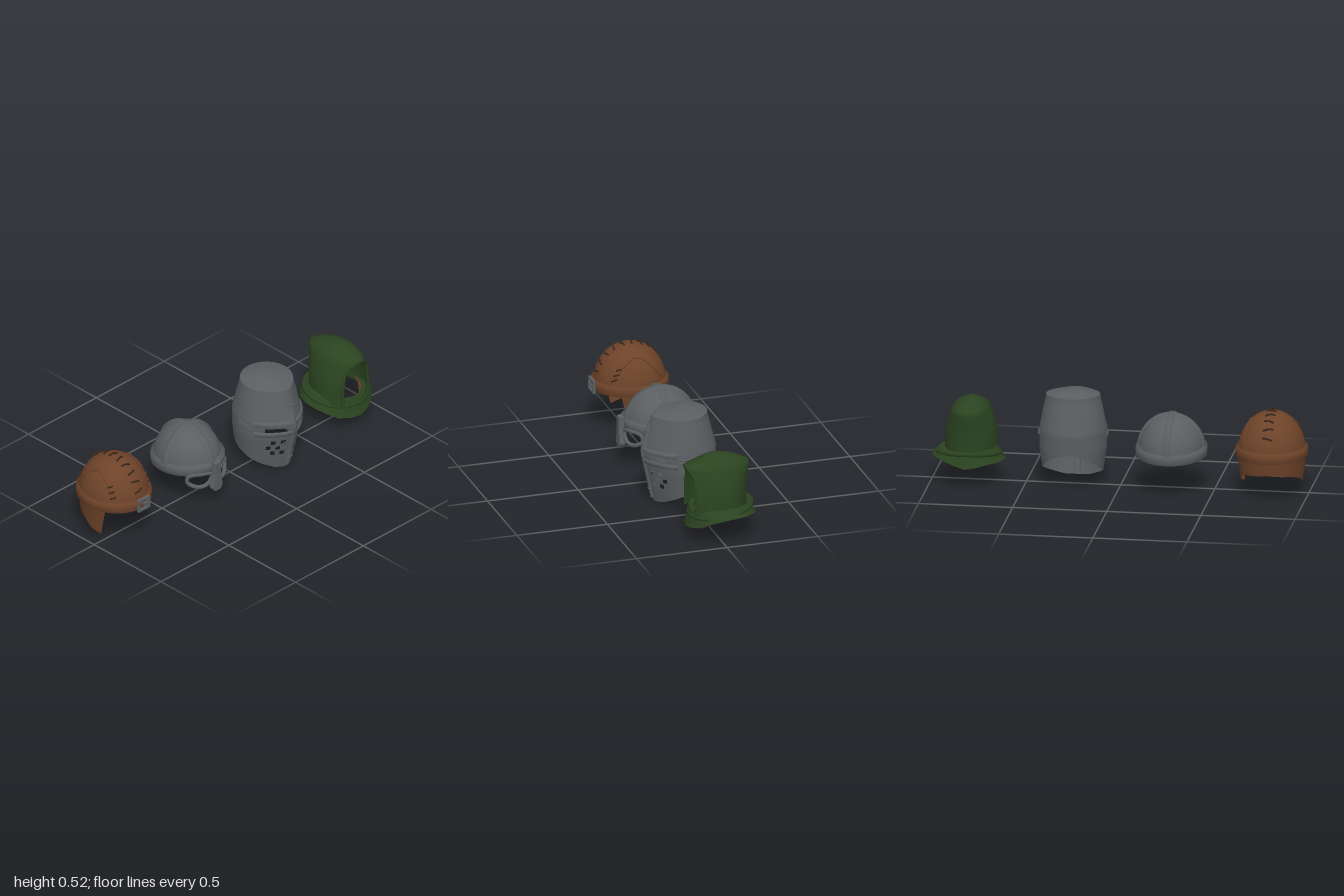
import * as THREE from 'three';
import { mergeVertices } from 'three/addons/utils/BufferGeometryUtils.js';

const { sin, cos, PI, abs, max, min } = Math;
const RAD = PI / 180;

function flat(name, hex) {
  const m = new THREE.MeshStandardMaterial({ color: hex, side: THREE.DoubleSide });
  m.name = name;
  return m;
}

// piecewise linear lookup in [[key, value], ...] with rising keys
function pick(table, k) {
  if (k <= table[0][0]) return table[0][1];
  for (let i = 1; i < table.length; i++) {
    const [k0, v0] = table[i - 1], [k1, v1] = table[i];
    if (k <= k1) return v0 + (v1 - v0) * (k - k0) / (k1 - k0);
  }
  return table[table.length - 1][1];
}

// grid surface from f(u, v) -> [x, y, z]; skip(i, j) leaves a cell open
function surf(group, name, mat, nu, nv, f, skip) {
  const pos = [], idx = [], w = nu + 1;
  for (let j = 0; j <= nv; j++)
    for (let i = 0; i <= nu; i++) pos.push(...f(i / nu, j / nv));
  for (let j = 0; j < nv; j++)
    for (let i = 0; i < nu; i++) {
      if (skip && skip(i, j)) continue;
      const a = j * w + i, b = a + 1, c = a + w, d = c + 1;
      idx.push(a, b, d, a, d, c);
    }
  let g = new THREE.BufferGeometry();
  g.setAttribute('position', new THREE.Float32BufferAttribute(pos, 3));
  g.setIndex(idx);
  g = mergeVertices(g, 1e-5);
  g.computeVertexNormals();
  return add(group, name, g, mat);
}

function add(group, name, geo, mat) {
  const m = new THREE.Mesh(geo, mat);
  m.name = name;
  group.add(m);
  return m;
}

function tube(group, name, mat, pts, r, closed = false, seg = 16) {
  const c = new THREE.CatmullRomCurve3(pts.map(p => new THREE.Vector3(...p)), closed);
  return add(group, name, new THREE.TubeGeometry(c, seg, r, 6, closed), mat);
}

function helmet(parent, name, x, z) {
  const g = new THREE.Group();
  g.name = name;
  g.position.set(x, 0, z);
  parent.add(g);
  return g;
}

// point on a dome: a = angle from the front, e = elevation, o = offset outwards
const dome = (rx, h, rz, y0) => (a, e, o = 0) => [
  (rx + o) * cos(e) * sin(a), y0 + (h + o) * sin(e), (rz + o) * cos(e) * cos(a)];

// raised band around an oval
function band(group, name, mat, rx, rz, lowY, highY, bulge, tilt = 0) {
  const prof = [[-.012, 0], [bulge, .08], [bulge, .85], [-.015, 1]];
  surf(group, name, mat, 32, 3, (u, v) => {
    const a = u * 2 * PI, [o, t] = prof[Math.round(v * 3)];
    return [(rx + o) * sin(a), lowY + (highY - lowY) * t + tilt * cos(a), (rz + o) * cos(a)];
  });
}

function leatherCap(root, M) {
  const g = helmet(root, 'leatherCap', -.81, -.045);
  const d = dome(.178, .215, .194, .24);
  surf(g, 'capDome', M.leather, 24, 9, (u, v) => d(u * 2 * PI, v * PI / 2));
  surf(g, 'capLining', M.steel, 24, 6, (u, v) => d(u * 2 * PI, v * PI / 2, -.01));
  band(g, 'browBand', M.leather, .182, .2, .212, .272, .008);
  // neck guard hanging lower at the ears
  const hem = [[70, .055], [91, .07], [107, .11], [135, .135], [180, .15]];
  surf(g, 'neckGuard', M.leather, 32, 4, (u, v) => {
    const a0 = 60 + 11 * v, deg = a0 + (360 - 2 * a0) * u;
    const y = .23 + (pick(hem, min(deg, 360 - deg)) - .23) * v;
    const k = 1 - (.23 - y) * .75;
    return [.183 * k * sin(deg * RAD), y, .199 * k * cos(deg * RAD)];
  });
  // laces crossing the crown seam
  for (let i = 0; i < 10; i++) {
    const t = (20 + i * 14.5) * RAD, s = i % 2 ? .007 : -.007;
    const at = (x, lift, dt) => [x, .24 + (.215 + lift) * sin(t + dt), (.194 + lift) * cos(t + dt)];
    tube(g, 'crownLace', M.lace, [at(-.026, -.003, s * 4), at(0, .007, 0), at(.026, -.003, -s * 4)], .005, false, 5);
  }
  // side seams with short stitches
  for (const s of [-1, 1]) {
    const seam = [];
    for (let i = 0; i <= 8; i++) seam.push(d(s * (42 + i * 12) * RAD, (10 + 42 * sin(i / 8 * PI)) * RAD, .001));
    tube(g, 'sideSeam', M.leather, seam, .004, false, 24);
    for (let i = 0; i < 3; i++) {
      const e = (16 + i * 8) * RAD, a = s * (48 + i * 3) * RAD;
      tube(g, 'sideStitch', M.lace, [d(a - .09, e - .03), d(a, e, .006), d(a + .09, e + .03)], .004, false, 4);
    }
  }
  // buckle
  const frame = new THREE.Shape([[-.042, -.036], [.042, -.036], [.042, .036], [-.042, .036]].map(p => new THREE.Vector2(...p)));
  frame.holes.push(new THREE.Path([[-.029, -.023], [-.029, .023], [.029, .023], [.029, -.023]].map(p => new THREE.Vector2(...p))));
  add(g, 'buckle', new THREE.ExtrudeGeometry(frame, { depth: .014, bevelEnabled: false }), M.steel).position.set(.01, .243, .205);
  add(g, 'bucklePin', new THREE.BoxGeometry(.045, .01, .012), M.steel).position.set(.028, .243, .214);
}

function spectacleHelm(root, M) {
  const g = helmet(root, 'spectacleHelm', -.275, -.037);
  const d = dome(.173, .19, .19, .22);
  surf(g, 'helmDome', M.steel, 24, 8, (u, v) => d(u * 2 * PI, v * PI / 2));
  band(g, 'rimBand', M.steel, .18, .197, .193, .25, .008, .014);
  // crossed ridges over the crown
  const prof = [[-.02, -.006], [-.014, .01], [.014, .01], [.02, -.006]];
  for (const side of [0, 1])
    surf(g, 'crownRidge', M.steel, 24, 3, (u, v) => {
      const [w, o] = prof[Math.round(v * 3)], t = u * PI;
      const r = ((side ? .173 : .19) + o) * cos(t), y = .22 + (.19 + o) * sin(t);
      return side ? [r, y, w] : [w, y, r];
    });
  // eye guards wrapped on the front curve
  const onFace = (x, y) => [x, y, .2 * Math.sqrt(1 - (x / .188) ** 2)];
  for (const s of [-1, 1])
    tube(g, 'eyeGuard', M.steel, [[.022, .2], [.08, .212], [.132, .203], [.138, .17], [.105, .139], [.06, .137], [.028, .16]]
      .map(([x, y]) => onFace(s * x, y)), .0115, true, 28);
  // nose guard
  const nose = new THREE.Shape([[-.019, .27], [-.02, .2], [-.026, .165], [-.034, .125], [-.018, .102], [.018, .102],
    [.034, .125], [.026, .165], [.02, .2], [.019, .27]].map(p => new THREE.Vector2(...p)));
  add(g, 'noseGuard', new THREE.ExtrudeGeometry(nose, { depth: .02, bevelEnabled: true, bevelThickness: .006, bevelSize: .003, bevelSegments: 1 }), M.steel)
    .position.z = .203;
}

function greatHelm(root, M) {
  const g = helmet(root, 'greatHelm', .255, 0);
  const RX = [[0, .145], [.06, .158], [.2, .178], [.3, .178], [.4, .16], [.49, .14]];
  const FRONT = [[0, .165], [.2, .208], [.28, .225], [.4, .195], [.48, .175]];
  const BACK = [[.1, .165], [.3, .17], [.49, .12]];
  const HEM = [[0, 0], [25, .008], [60, .045], [110, .1], [150, .17], [180, .195]];
  const wall = (deg, y, o = 0) => {
    const a = deg * RAD, c = cos(a), mid = .015;
    const ridge = .022 * max(0, c) ** 10;
    const z = c > 0 ? (pick(FRONT, y) - mid - .022 + o) * c + ridge : (pick(BACK, y) + mid + o) * c;
    return [(pick(RX, y) + o) * sin(a), y, mid + z];
  };
  const hem = deg => pick(HEM, abs(deg));
  const NU = 90, NV = 40, H = .48;
  // wall with sight slits and breathing holes
  surf(g, 'helmWall', M.steel, NU, NV, (u, v) => {
    const deg = -180 + 360 * u, y = max(v * H, hem(deg));
    const p = wall(deg, y);
    if (v === 1) p[1] += -.006 * cos(deg * RAD) + .006;
    return p;
  }, (i, j) => {
    const deg = abs(-180 + (i + .5) * 4), y = (j + .5) * H / NV;
    if (y + .006 < min(hem(deg - 2), hem(deg + 2))) return true;
    if (deg > 11 && deg < 49 && y > .252 && y < .28) return true;
    const row = Math.floor((y - .096) / .036);
    if (row < 0 || row > 2 || (y - .096) % .036 > .024) return false;
    const k = deg - (row % 2 ? 20 : 12);
    return k > 0 && k < 32 && k % 16 < 8;
  });
  // shallow peaked top
  surf(g, 'helmTop', M.steel, 36, 2, (u, v) => {
    const deg = -180 + 360 * u, p = wall(deg, H);
    return [p[0] * (1 - v), (p[1] + .006 - .006 * cos(deg * RAD)) * (1 - v) + .518 * v, p[2] * (1 - v)];
  });
  // reinforcing strips: down the nose, above and below the slits
  const edge = [[0, -.002], [.12, .01], [.88, .01], [1, -.002]];
  const strip = (name, d0, d1, y0, y1) => surf(g, name, M.steel, 24, 3, (u, v) => {
    const [t, o] = edge[Math.round(v * 3)];
    return wall(d0 + (d1 - d0) * u, y0 + (y1 - y0) * t, o);
  });
  strip('browStrip', -66, 66, .284, .312);
  strip('cheekStrip', -66, 66, .222, .25);
  const half = [[.02, .016], [.18, .022], [.25, .026], [.32, .026], [.37, .018], [.44, .014]];
  surf(g, 'noseStrip', M.steel, 4, 16, (u, v) => {
    const y = .018 + .425 * v, s = u * 2 - 1, w = pick(half, y);
    const base = pick(FRONT, y);
    return [s * w, y, base + (abs(s) > .9 ? -.012 : .014 - abs(s) * .01)];
  });
  for (const y of [.07, .4])
    for (const s of [-1, 1])
      add(g, 'rivet', new THREE.SphereGeometry(.007, 8, 6), M.steel).position.set(s * .009, y, pick(FRONT, y) + .01);
  // battle cuts on both sides
  for (const s of [-1, 1])
    for (let i = 0; i < 2; i++)
      tube(g, 'cutEdge', M.steel, [wall(s * 72, .26 + i * .02, .002), wall(s * 84, .272 + i * .008, .006), wall(s * 98, .268 + i * .02, .002)], .005, false, 6);
}

function hood(root, M) {
  const g = helmet(root, 'clothHood', .8, 0);
  // rows: y, half width, front, back, half angle of the face opening
  const rows = [[.15, .138, .18, .165, 42], [.22, .138, .18, .166, 42], [.29, .133, .178, .167, 41], [.35, .115, .166, .178, 36],
    [.385, .103, .168, .186, 24], [.405, .096, .165, .182, 0], [.43, .076, .09, .13, 0], [.45, .042, .042, .075, 0], [.465, 0, 0, 0, 0]];
  const at = (j, u) => {
    const [y, rx, f, b, a0] = rows[j], a = (a0 + (360 - 2 * a0) * u) * RAD;
    return [rx * sin(a) - .007, y, (cos(a) > 0 ? f : b) * cos(a)];
  };
  surf(g, 'hoodShell', M.cloth, 22, 8, (u, v) => at(Math.round(v * 8), u));
  const rim = [];
  for (let j = 0; j <= 5; j++) rim.push(at(j, 0));
  for (let j = 4; j >= 0; j--) rim.push(at(j, 1));
  tube(g, 'faceRim', M.cloth, rim, .009, false, 30);
  // shoulder collar with a dipping front hem and a leather lining
  const HEM = [[0, .066], [35, .082], [65, .125], [90, .142], [140, .138], [180, .11]];
  const ring = (deg, rx, rz, y) => {
    const a = deg * RAD;
    return [rx * sin(a) + .003, y, -.024 + rz * cos(a)];
  };
  const hemAt = deg => pick(HEM, min(deg, 360 - deg)) + .012 * sin(deg * RAD);
  surf(g, 'collar', M.cloth, 18, 4, (u, v) => {
    const deg = u * 360, h = hemAt(deg), c = cos(deg * RAD), top = .19 - .018 * max(0, c);
    return [ring(deg, .13, .142, top - .01), ring(deg, .148, .158, top + .006), ring(deg, .166, .172, top - .012),
      ring(deg, .17, .172, (top + h) / 2 + .004), ring(deg, .195, .189, h)][Math.round(v * 4)];
  });
  surf(g, 'collarLining', M.lining, 18, 2, (u, v) => {
    const deg = u * 360, h = hemAt(deg);
    return [ring(deg, .195, .189, h), ring(deg, .172, .17, h - .008), ring(deg, .118, .13, h + .035)][Math.round(v * 2)];
  });
  // soft fold around the neck
  const fold = [];
  for (let i = 0; i < 12; i++) fold.push(ring(i * 30, .168, .166, .158 - .026 * cos(i * 30 * RAD)));
  tube(g, 'neckFold', M.cloth, fold, .012, true, 28);
}

export function createModel() {
  const root = new THREE.Group();
  root.name = 'helmetSet';
  const M = {
    leather: flat('leather', 0x6e4329),
    lace: flat('darkLace', 0x38261a),
    steel: flat('steel', 0x5b5f61),
    cloth: flat('greenCloth', 0x2b4420),
    lining: flat('collarLining', 0x633b25),
  };
  leatherCap(root, M);
  spectacleHelm(root, M);
  greatHelm(root, M);
  hood(root, M);
  return root;
}
